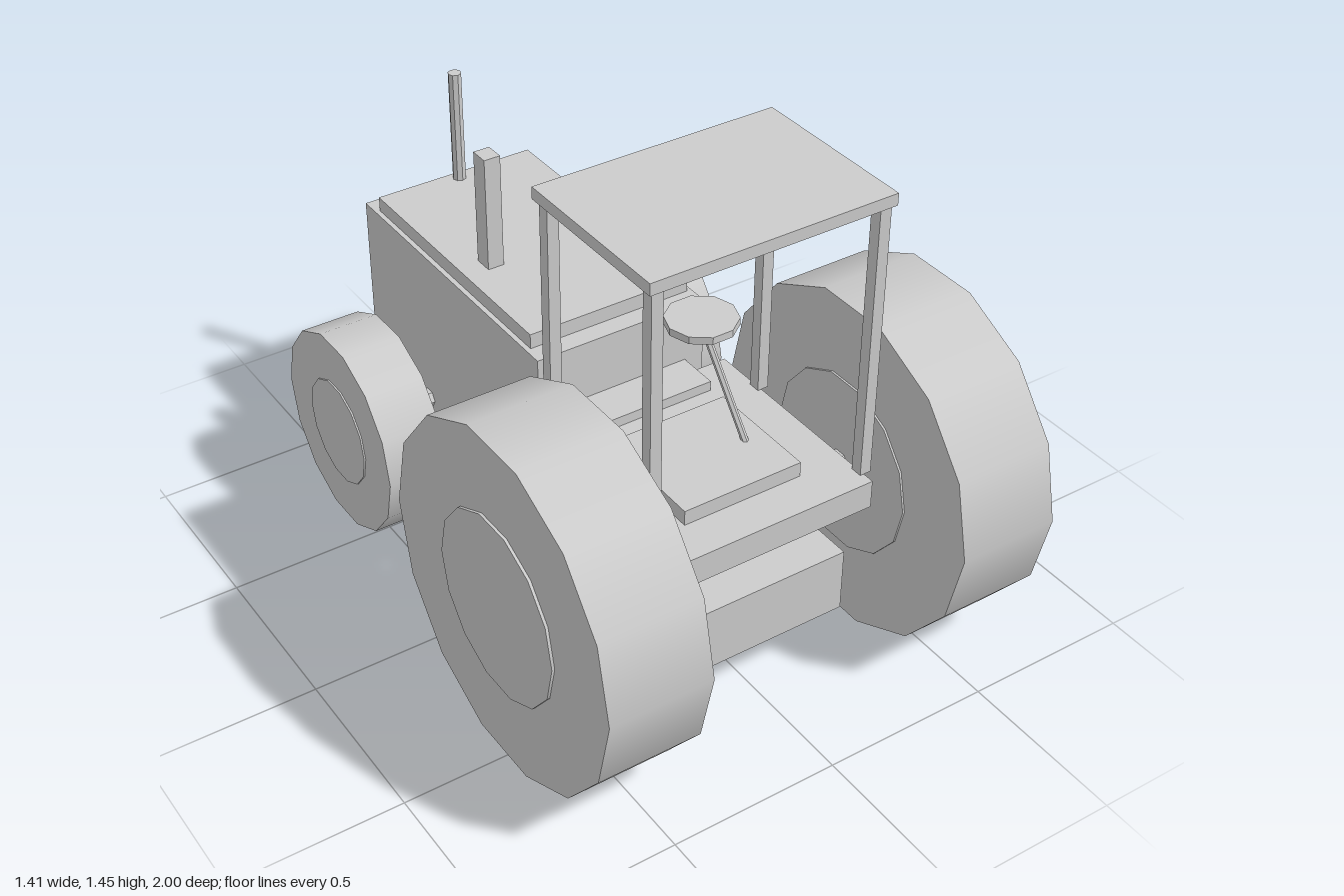
import * as THREE from 'three';

export function createModel() {
  const tractor = new THREE.Group();
  tractor.name = 'tractor';
  const grey = new THREE.MeshStandardMaterial({ color: 0xcccccc });
  grey.name = 'light grey';

  const add = (name, geometry) => {
    const mesh = new THREE.Mesh(geometry, grey);
    mesh.name = name;
    tractor.add(mesh);
    return mesh;
  };
  // Box given by its limits on each axis
  const box = (name, [x0, x1], [y0, y1], [z0, z1]) =>
    add(name, new THREE.BoxGeometry(x1 - x0, y1 - y0, z1 - z0))
      .position.set((x0 + x1) / 2, (y0 + y1) / 2, (z0 + z1) / 2);
  // Cylinder with faceted sides
  const faceted = (radius, height, sides) => {
    const g = new THREE.CylinderGeometry(radius, radius, height, sides).toNonIndexed();
    g.computeVertexNormals();
    return g;
  };

  // Chassis, hood and lid
  box('chassis', [-0.27, 0.27], [0.175, 0.37], [-1, 0.67]);
  box('hood', [-0.27, 0.27], [0.37, 0.81], [-0.97, 0]);
  box('hoodLid', [-0.255, 0.255], [0.81, 0.855], [-0.91, -0.06]);

  // Stacks on the hood
  box('squareStack', [-0.185, -0.135], [0.855, 1.205], [-0.455, -0.397]);
  add('roundStack', faceted(0.02, 0.355, 8)).position.set(0, 1.0275, -0.88);

  // Driver's platform, step and seat
  box('platform', [-0.33, 0.33], [0.515, 0.6], [0.025, 0.693]);
  box('step', [-0.21, 0.21], [0.6, 0.63], [0, 0.127]);
  box('seat', [-0.185, 0.185], [0.6, 0.645], [0.22, 0.57]);

  // Canopy on four posts
  box('roof', [-0.363, 0.363], [1.42, 1.455], [0.15, 0.665]);
  for (const x of [-0.335, 0.335]) {
    for (const z of [0.183, 0.638]) {
      box('roofPost', [x - 0.017, x + 0.017], [0.6, 1.42], [z - 0.018, z + 0.018]);
    }
  }

  // Steering wheel on a slanted column
  const steeringWheel = add('steeringWheel', faceted(0.102, 0.022, 10));
  steeringWheel.rotation.y = Math.PI / 2;
  steeringWheel.position.set(0.09, 0.946, 0.242);
  const foot = new THREE.Vector3(0.124, 0.6, 0.435);
  const head = new THREE.Vector3(0.09, 0.94, 0.242);
  const slope = head.clone().sub(foot);
  const column = add('steeringColumn', faceted(0.01, slope.length(), 6));
  column.position.copy(foot).add(head).multiplyScalar(0.5);
  column.quaternion.setFromUnitVectors(new THREE.Vector3(0, 1, 0), slope.normalize());

  // Wheels with hubs, and hexagonal axles
  const sets = [
    { end: 'rear', y: 0.51, z: 0.4875, radius: 0.5125, outer: 0.695, hub: 0.27, hubOuter: 0.703, axle: 0.035 },
    { end: 'front', y: 0.305, z: -0.6325, radius: 0.3125, outer: 0.575, hub: 0.165, hubOuter: 0.58, axle: 0.029 },
  ];
  const lay = (mesh, x, s) => {
    mesh.rotation.z = Math.PI / 2;
    mesh.position.set(x, s.y, s.z);
  };
  for (const s of sets) {
    lay(add(s.end + 'Axle', faceted(s.axle, 0.8, 6)), 0, s);
    const width = s.outer - 0.393;
    const hubWidth = s.hubOuter - 0.387;
    for (const side of [-1, 1]) {
      lay(add(s.end + 'Wheel', new THREE.CylinderGeometry(s.radius, s.radius, width, 14)),
        side * (0.393 + width / 2), s);
      lay(add(s.end + 'Hub', new THREE.CylinderGeometry(s.hub, s.hub, hubWidth, 14)),
        side * (0.387 + hubWidth / 2), s);
    }
  }
  return tractor;
}
